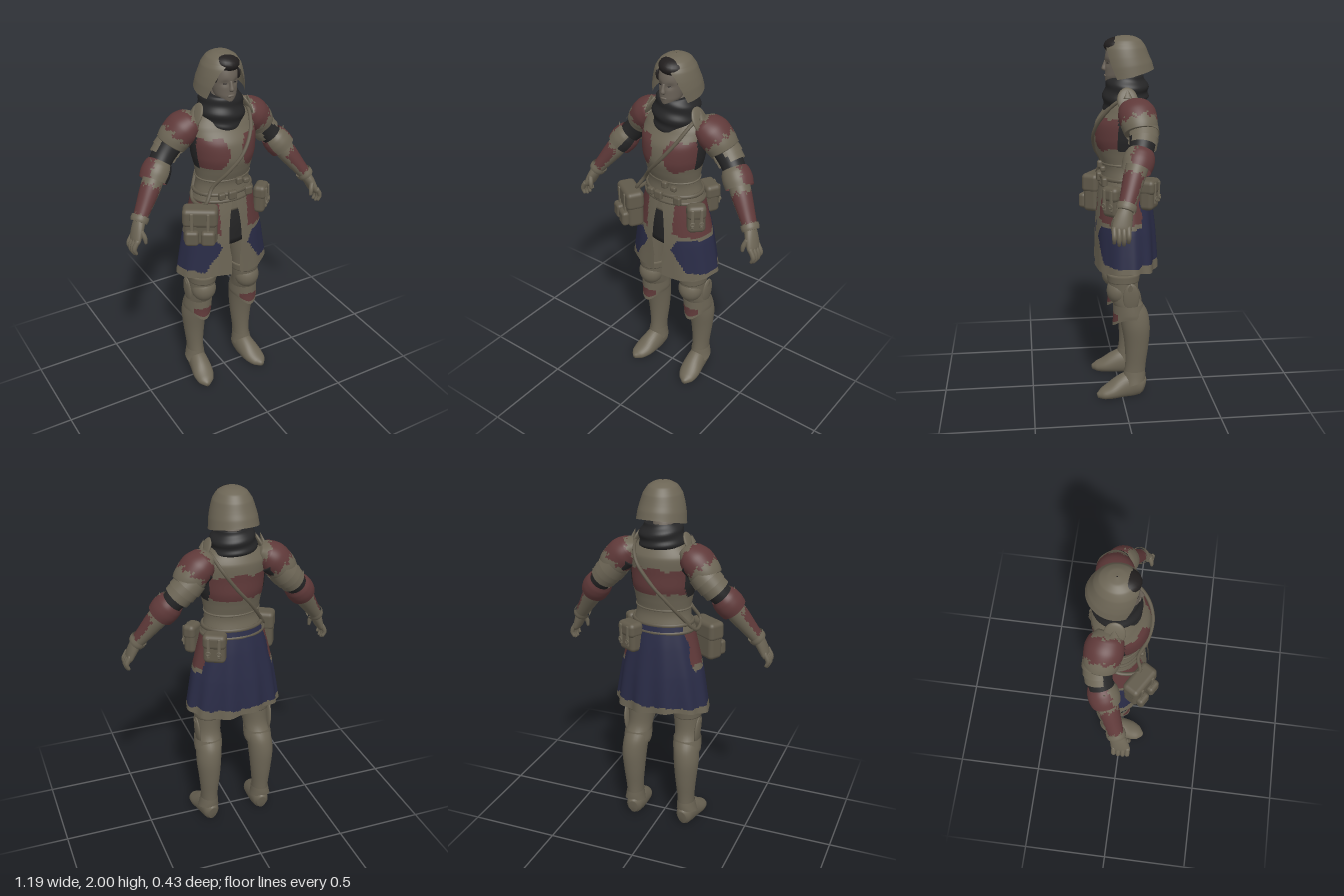
import * as THREE from 'three';
import { RoundedBoxGeometry } from 'three/addons/geometries/RoundedBoxGeometry.js';

const mat = (name, color) => new THREE.MeshStandardMaterial({ name, color, side: THREE.DoubleSide });

export function createModel() {
  const root = new THREE.Group();
  root.name = 'armouredFigure';
  const tan = mat('weatheredSteel', 0x6c6555), red = mat('redPaint', 0x5f3939), blue = mat('blueCloth', 0x2a2c47);
  const black = mat('blackCloth', 0x252526), skin = mat('skin', 0x696157), hair = mat('darkHair', 0x211e1e);
  const leather = mat('leather', 0x615a4b);
  const TAN = 0, RED = 1, BLUE = 2, BLACK = 3, paints = [tan, red, blue, black];
  const wob = (a, b) => Math.sin(a * 7 + b * 31) * 0.6 + Math.sin(a * 17 - b * 53) * 0.4;

  const add = (name, geo, m, x = 0, y = 0, z = 0, parent = root) => {
    const mesh = new THREE.Mesh(geo, m);
    mesh.name = name;
    mesh.position.set(x, y, z);
    parent.add(mesh);
    return mesh;
  };

  // Skins smooth cross-sections [x, y, z, half width, half depth]; angle 0 faces the front.
  // gap opens the front, mod moves points, paint picks a material for each face.
  function loft(name, rings, m, { seg = 32, rows = 20, gap, paint, mod, ref = [0, 0, 1], level, cap = !gap } = {}) {
    const path = new THREE.CatmullRomCurve3(rings.map(r => new THREE.Vector3(r[0], r[1], r[2])));
    const size = new THREE.CatmullRomCurve3(rings.map(r => new THREE.Vector3(r[3], r[4], 0)));
    const pos = [], lists = paints.map(() => []), P = [];
    const first = cap ? -1 : 0, last = cap ? rows + 1 : rows, cols = gap ? seg + 1 : seg;
    for (let i = first; i <= last; i++) {
      const v = Math.min(1, Math.max(0, i / rows)), c = path.getPoint(v), d = size.getPoint(v);
      if (i < 0 || i > rows) d.set(0, 0, 0);
      const t = level ? new THREE.Vector3(0, 1, 0) : path.getTangent(v);
      const w = new THREE.Vector3(...ref).addScaledVector(t, -t.dot(new THREE.Vector3(...ref))).normalize();
      const u = new THREE.Vector3().crossVectors(t, w);
      const g = gap ? gap(v) : 0;
      for (let j = 0; j < cols; j++) {
        const phi = g + (2 * Math.PI - 2 * g) * j / seg, th = phi + Math.PI / 2;
        const p = c.clone().addScaledVector(u, Math.cos(th) * d.x).addScaledVector(w, Math.sin(th) * d.y);
        if (mod) mod(p, phi, v);
        pos.push(p.x, p.y, p.z);
        P.push({ p, phi, v });
      }
    }
    for (let i = 0; i < last - first; i++) for (let j = 0; j < seg; j++) {
      const k = (j + 1) % cols, a = i * cols + j, b = i * cols + k, c = a + cols, e = b + cols;
      const mid = P[a].p.clone().add(P[e].p).multiplyScalar(0.5);
      const phi = P[a].phi > Math.PI ? P[a].phi - 2 * Math.PI : P[a].phi;
      lists[paint ? paint(mid, phi, (P[a].v + P[c].v) / 2) : 0].push(a, c, b, b, c, e);
    }
    const geo = new THREE.BufferGeometry();
    geo.setAttribute('position', new THREE.Float32BufferAttribute(pos, 3));
    geo.setIndex(lists.flat());
    let start = 0;
    if (paint) lists.forEach((l, i) => { if (l.length) geo.addGroup(start, l.length, i); start += l.length; });
    geo.computeVertexNormals();
    return add(name, geo, paint ? paints : m);
  }
  const ball = (name, m, x, y, z, a, b, c) => add(name, new THREE.SphereGeometry(1, 24, 16).scale(a, b, c), m, x, y, z);
  const hoop = (name, m, y, z, a, c, tube) =>
    add(name, new THREE.TorusGeometry(1, tube, 8, 48).rotateX(Math.PI / 2).scale(a, 0.2, c), m, 0, y, z);

  // Cuirass with worn red paint on chest and upper back
  loft('cuirass', [[0, 1.14, -.03, .175, .135], [0, 1.23, -.025, .165, .122], [0, 1.3, -.02, .152, .113], [0, 1.38, -.015, .16, .133],
    [0, 1.46, -.015, .178, .151], [0, 1.54, -.02, .185, .146], [0, 1.62, -.045, .18, .12], [0, 1.68, -.045, .13, .09], [0, 1.74, -.04, .07, .07]], tan,
  { level: true, seg: 96, rows: 60, paint: (p) => {
    const n = .012 * wob(p.x * 4, p.y), ax = Math.abs(p.x), y = p.y + n;
    if (ax > .15 && p.z < .02 && p.z > -.1 && y > 1.4 && y < 1.58) return BLACK;
    if (p.z > 0) return ax > .03 + Math.abs(y - 1.5) * .4 && y > 1.41 && y < 1.58 ? RED : TAN;
    return y > 1.42 && y < 1.56 ? RED : TAN;
  } });
  hoop('waistRidge', tan, 1.325, -.018, .153, .117, .03);
  hoop('belt', leather, 1.245, -.025, .165, .125, .06);
  hoop('lowerBelt', leather, 1.205, -.028, .175, .132, .05);
  for (const [x, y, w, h] of [[.03, 1.315, .035, .04], [.08, 1.3, .035, .03], [-.01, 1.24, .05, .05], [-.07, 1.24, .04, .04], [.1, 1.23, .045, .05]])
    add('beltFitting', new RoundedBoxGeometry(w, h, .03, 2, .01), leather, x, y, .108 - x * x * 2);

  // Split skirt
  loft('skirt', [[0, 1.24, -.028, .168, .13], [0, 1.12, -.03, .198, .15], [0, .96, -.033, .237, .165], [0, .84, -.035, .257, .17], [0, .745, -.035, .272, .173]], blue,
    { level: true, seg: 140, rows: 56, gap: v => .02 + .15 * Math.sin(Math.min(1, v * 1.4) * 2.6),
      mod: (p, phi, v) => {
        const back = Math.max(0, -Math.cos(phi)), k = 1 + .045 * v * Math.cos(phi * 11) * (.25 + back);
        p.x *= k; p.z = -.03 + (p.z + .03) * k;
        p.y += .012 * v * Math.sin(phi * 3);
      },
      paint: (p) => {
        const ax = Math.abs(p.x), n = .009 * wob(p.x * 5 + p.z * 3, p.y), y = p.y + n;
        if (y < .785) return TAN;
        if (p.z < -.1 + n) return BLUE;
        if (p.z > 0 && ax < (y > 1.01 ? .085 : .08 + .65 * Math.abs(y - .93))) return TAN;
        return y < .99 ? BLUE : y < 1.015 || y > 1.2 ? TAN : RED;
      } });
  loft('underCloth', [[0, 1.2, -.03, .15, .115], [0, 1.05, -.03, .17, .13], [0, .92, -.03, .17, .12]], black, { level: true, rows: 8 });

  for (const s of [1, -1]) {
    const side = s > 0 ? 'left' : 'right', m = pts => pts.map(r => [r[0] * s, ...r.slice(1)]);
    // Armoured leg
    loft(side + 'Leg', m([[.11, .98, -.02, .09, .1], [.137, .76, -.01, .083, .09], [.14, .67, -.01, .077, .083], [.145, .58, -.02, .071, .08],
      [.153, .5, -.06, .072, .083], [.16, .42, -.077, .071, .08], [.16, .3, -.083, .06, .067], [.16, .18, -.077, .048, .058],
      [.16, .1, -.07, .046, .06], [.16, .05, -.07, .045, .058]]), tan, { level: true, rows: 40 });
    ball(side + 'KneeCop', tan, s * .143, .625, .015, .072, .078, .068);
    loft(side + 'ThighLame', [[s * .14, .68, -.01, .08, .087], [s * .139, .73, -.01, .086, .094]], tan, { level: true, rows: 4 });
    ball(side + 'KneeWing', tan, s * .214, .6, -.045, .014, .085, .045).rotation.z = -s * .08;
    add(side + 'WingPoint', new THREE.ConeGeometry(.025, .07, 10).scale(.5, 1, 1.3), tan, s * .225, .655, -.04).rotation.z = -s * .3;
    loft(side + 'KneePlate', [[s * .15, .55, -.035, .078, .083], [s * .152, .49, -.045, .08, .083], [s * .154, .455, -.05, .077, .083]], tan,
      { level: true, seg: 64, rows: 20, cap: false,
        mod: (p, phi, v) => { const f = Math.max(0, Math.cos(phi)); p.y -= v * (.05 * f * f * f - .02); p.z += v * .02 * f * f; },
        paint: (p, phi, v) => Math.abs(phi) < .72 && v > .3 + .15 * Math.abs(phi) && v < .8 ? RED : TAN });
    // Pointed foot armour, flat underneath
    loft(side + 'Foot', m([[.155, .05, -.128, .025, .045], [.157, .055, -.11, .043, .06], [.16, .062, -.05, .054, .078], [.165, .052, 0, .058, .068],
      [.175, .033, .06, .06, .046], [.185, .02, .11, .045, .03], [.19, .013, .142, .012, .014]]), tan,
    { ref: [0, 1, 0], rows: 24, mod: p => { p.y = Math.max(0, p.y); } });
    loft(side + 'AnkleCuff', [[s * .16, .15, -.073, .05, .06], [s * .162, .115, -.07, .054, .064], [s * .164, .08, -.065, .06, .068]], tan,
      { level: true, rows: 6, cap: false, mod: (p, phi, v) => { p.y -= v * .02 * Math.cos(phi); } });

    // Arm with black sleeve and forearm painted on its upper side
    const arm = m([[.185, 1.6, -.085, .07, .08], [.25, 1.54, -.095, .068, .074], [.31, 1.475, -.088, .062, .066], [.365, 1.41, -.065, .056, .06],
      [.425, 1.325, -.03, .054, .056], [.48, 1.245, 0, .043, .047], [.525, 1.18, .025, .034, .04]]);
    const path = new THREE.CatmullRomCurve3(arm.map(r => new THREE.Vector3(r[0], r[1], r[2])));
    const size = new THREE.CatmullRomCurve3(arm.map(r => new THREE.Vector3(r[3], r[4], 0)));
    const ring = (t, e) => { const c = path.getPoint(t), d = size.getPoint(t); return [c.x, c.y, c.z, d.x + e, d.y + e]; };
    loft(side + 'Arm', arm, tan, { seg: 48, rows: 64, paint: (p, phi, v) => {
      const n = .025 * wob(phi, v * 3), up = s * phi + n * 5;
      if (v < .52) return BLACK;
      return v > .65 + n && v < .93 + n && up > -.6 && up < 2.5 ? RED : TAN;
    } });
    for (let k = 0; k < 3; k++) // upper-arm lames, open towards the inner front
      loft(side + 'ArmLame' + k, [ring(.13 + k * .075, .008), ring(.23 + k * .07, .016 - k * .002)], tan, { rows: 4, gap: () => s > 0 ? .3 + k * .2 : 1.2 });
    loft(side + 'ElbowCop', [ring(.43, .006), ring(.48, .018), ring(.54, .023), ring(.6, .019)], tan,
      { seg: 48, rows: 12, cap: false, paint: (p, phi, v) => {
        const up = s * phi;
        return up > -1 && up < 1 + .15 * wob(v * 2, phi) ? (s < 0 && up < -.3 ? BLACK : TAN) : RED;
      } });
    add(side + 'ElbowPoint', new THREE.ConeGeometry(.03, .08, 12).scale(.5, 1, 1), tan, s * .4, 1.45, -.05).rotation.z = -s * .15;
    loft(side + 'Cuff', [ring(.93, .008), ring(.97, .011), ring(1, .009)], tan, { rows: 6, cap: false });

    // Shoulder plate and neck guard
    loft(side + 'Pauldron', m([[.13, 1.655, -.065, .03, .05], [.165, 1.635, -.068, .07, .088], [.21, 1.6, -.075, .088, .1], [.25, 1.555, -.082, .086, .094],
      [.27, 1.525, -.085, .08, .086]]), tan,
    { seg: 56, rows: 32, paint: (p, phi, v) => v > .2 + .06 * wob(phi, v) && v < .66 + .07 * wob(phi * 1.3, v) ? RED : TAN });
    add(side + 'NeckGuard', new THREE.SphereGeometry(1, 20, 14).scale(.014, .07, .055), tan, s * .15, 1.675, -.03).rotation.z = s * .45;
    add(side + 'GuardPoint', new THREE.ConeGeometry(.02, .05, 10).scale(.5, 1, 1.2), tan, s * .163, 1.71, -.03).rotation.z = s * .3;

    // Gloved hand with curled fingers
    loft(side + 'Palm', m([[.515, 1.195, .02, .03, .036], [.537, 1.15, .035, .028, .046], [.558, 1.1, .047, .022, .05], [.565, 1.08, .05, .014, .044]]), tan, { seg: 24, rows: 14 });
    for (let k = 0; k < 4; k++) {
      const z = .05 + (k - 1.5) * .024, l = k === 3 || k === 0 ? .012 : 0;
      loft(side + 'Finger' + k, m([[.56, 1.11, z, .013, .013], [.58, 1.075, z, .0135, .013], [.584, 1.045 + l, z, .012, .012], [.572, 1.018 + l, z, .008, .008]]), tan, { seg: 12, rows: 10 });
    }
    loft(side + 'Thumb', m([[.535, 1.15, .07, .014, .015], [.522, 1.115, .085, .013, .013], [.518, 1.08, .088, .008, .008]]), tan, { seg: 12, rows: 8 });
  }

  // Head and face
  loft('neck', [[0, 1.66, -.04, .06, .06], [0, 1.8, -.025, .052, .055]], skin, { level: true, rows: 4 });
  loft('head', [[0, 1.742, .035, .015, .02], [0, 1.758, .025, .037, .045], [0, 1.79, .008, .058, .066], [0, 1.84, -.005, .067, .078],
    [0, 1.89, -.012, .071, .085], [0, 1.94, -.02, .066, .078], [0, 1.975, -.03, .03, .04]], skin,
  { level: true, seg: 48, rows: 36, mod: p => {
    if (p.z > 0) p.z -= .009 * Math.exp(-((Math.abs(p.x) - .03) ** 2) / .0003 - (p.y - 1.857) ** 2 / .0002);
  } });
  loft('nose', [[0, 1.87, .068, .007, .008], [0, 1.845, .075, .009, .011], [0, 1.825, .079, .013, .013], [0, 1.815, .075, .009, .008]], skin, { level: true, seg: 16, rows: 12 });
  ball('lips', skin, 0, 1.79, .071, .02, .007, .008);
  ball('hairFringe', hair, .006, 1.946, -.01, .076, .047, .09).rotation.z = -.12;
  for (const s of [1, -1]) {
    ball('eye', hair, s * .029, 1.856, .061, .011, .0025, .004).rotation.y = s * .35;
    ball('hairLock', hair, s * .066, 1.895, .018, .011, .04, .03);
  }

  // Open-faced helmet, round at the sides and lifted at the nape
  loft('helmet', [[0, 2, -.035, .003, .003], [0, 1.994, -.035, .042, .045], [0, 1.974, -.033, .076, .086], [0, 1.935, -.033, .102, .113],
    [0, 1.89, -.037, .116, .125], [0, 1.845, -.044, .126, .134], [0, 1.79, -.052, .132, .137]], tan,
  { level: true, seg: 64, rows: 50, gap: v => v < .42 ? 0 : .62 * Math.sqrt(Math.min(1, (v - .42) / .16)) + .4 * Math.max(0, v - .58) / .42,
    mod: (p, phi, v) => { p.y += v ** 4 * (.035 * Math.max(0, -Math.cos(phi)) - .025 * Math.max(0, Math.cos(phi))); } });

  // Wrapped scarf with slanting folds, hanging lower in front
  loft('scarf', [[0, 1.775, -.035, .07, .07], [0, 1.785, -.035, .092, .09], [0, 1.75, -.037, .112, .11], [0, 1.7, -.038, .126, .122],
    [0, 1.655, -.036, .122, .122], [0, 1.62, -.03, .09, .1], [0, 1.6, -.02, .045, .05]], black,
  { level: true, seg: 56, rows: 44, mod: (p, phi, v) => {
    const k = 1 + .045 * Math.sin(v * 24 + 1.6 * Math.sin(phi + .6) + 1.2 * Math.cos(phi));
    p.x *= k; p.z = -.035 + (p.z + .035) * k;
    p.y -= .035 * Math.cos(phi) * v;
  } });

  // Shoulder strap crossing front and back
  const strap = new THREE.CatmullRomCurve3([[-.17, 1.22, .1], [-.12, 1.3, .085], [-.05, 1.39, .127], [.03, 1.48, .14], [.1, 1.58, .1], [.14, 1.67, .01], [.14, 1.675, -.08],
    [.1, 1.6, -.162], [.03, 1.5, -.17], [-.06, 1.39, -.145], [-.13, 1.29, -.095], [-.185, 1.2, -.02]].map(p => new THREE.Vector3(...p)), true);
  add('shoulderStrap', new THREE.TubeGeometry(strap, 100, .01, 8, true), leather);

  // Bags: body, flap, closing straps with buckles
  function bag(name, x, y, z, turn, w, h, d, pockets) {
    const g = new THREE.Group();
    g.name = name; g.position.set(x, y, z); g.rotation.y = turn;
    root.add(g);
    add('bagBody', new RoundedBoxGeometry(w, h, d, 3, .025), leather, 0, 0, 0, g);
    add('bagFlap', new RoundedBoxGeometry(w * 1.05, h * .5, d * 1.12, 3, .025), leather, 0, h * .26, .003, g);
    for (const s of [-1, 1]) {
      add('bagStrap', new RoundedBoxGeometry(.018, h * .7, .012, 1, .004), tan, s * w * .24, h * .08, d * .56 + .002, g);
      add('bagBuckle', new THREE.TorusGeometry(.011, .004, 6, 12), tan, s * w * .24, -h * .1, d * .56 + .008, g);
      if (pockets) add('bagPocket', new RoundedBoxGeometry(w * .42, h * .4, .045, 3, .018), leather, s * w * .24, -h * .24, d * .5 + .012, g);
    }
  }
  bag('satchel', -.205, 1.112, .105, -.55, .18, .215, .09, true);
  bag('sidePouch', .2, 1.145, .055, .75, .1, .165, .065, false);
  bag('rearPouch', .14, 1.168, -.148, 2.65, .12, .165, .08, false);
  return root;
}
